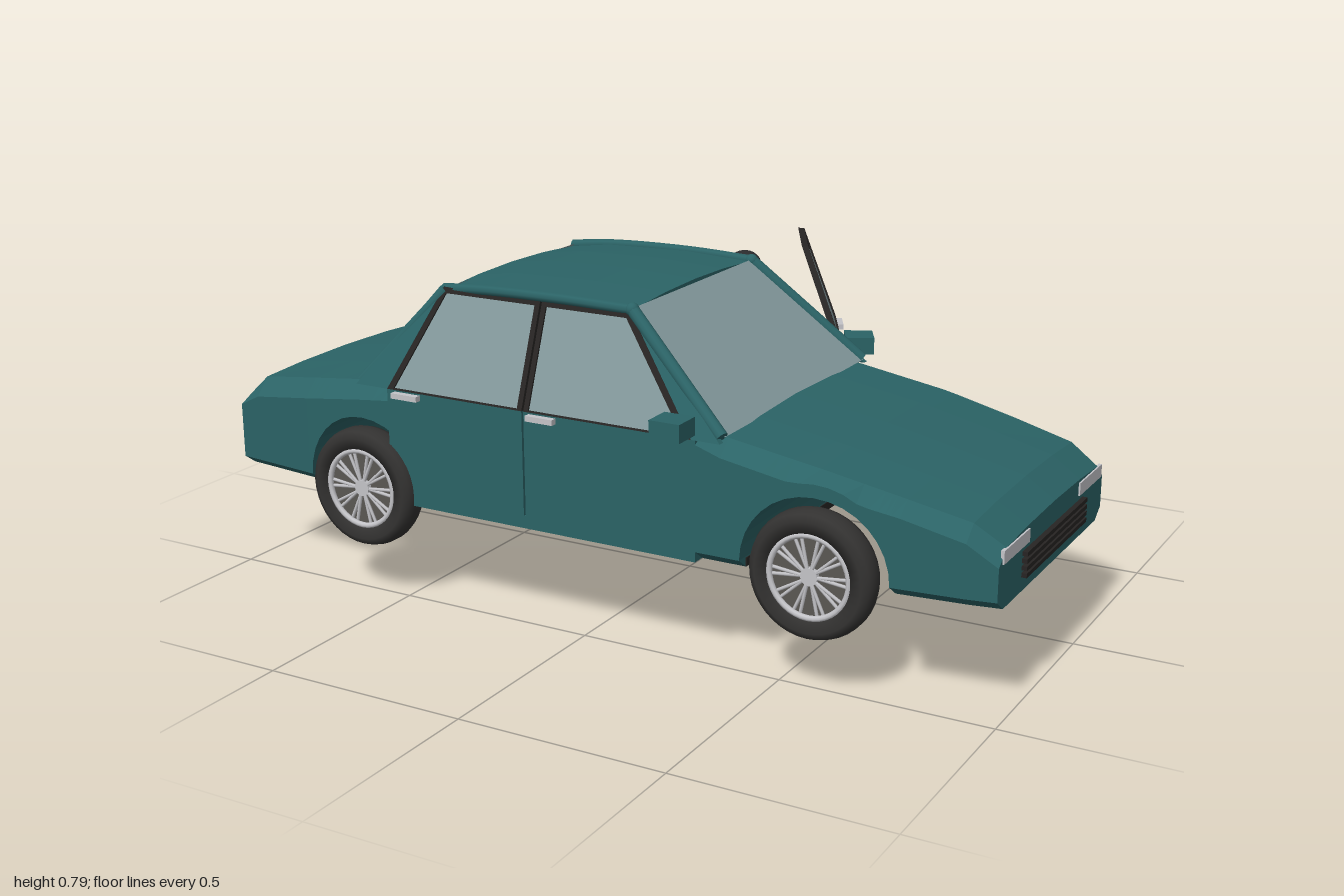
import * as THREE from 'three';

const mat = (name, color, side = THREE.FrontSide) =>
  Object.assign(new THREE.MeshStandardMaterial({ color, side }), { name });
const paint = mat('teal paint', 0x2b6366), glass = mat('glass', 0x849a9d, THREE.DoubleSide);
const trim = mat('black trim', 0x272423), rubber = mat('tyre rubber', 0x333231);
const chrome = mat('light metal', 0xc4c4c8), red = mat('tail light red', 0x9c1c1c);
const skin = mat('skin', 0xcf9877), shirt = mat('shirt', 0x9c5526);
const cloth = mat('dark cloth', 0x2b2b2d), grey = mat('grey fabric', 0x5a5753);

const V = (x, y, z) => new THREE.Vector3(x, y, z);
function add(parent, name, geo, m, x = 0, y = 0, z = 0) {
  const mesh = new THREE.Mesh(geo, m);
  mesh.name = name;
  mesh.position.set(x, y, z);
  parent.add(mesh);
  return mesh;
}
const box = (p, name, m, w, h, d, x, y, z) => add(p, name, new THREE.BoxGeometry(w, h, d), m, x, y, z);

// Tapered round bar between two points
function bar(p, name, m, a, b, r1, r2 = r1, seg = 12) {
  const d = b.clone().sub(a);
  const mesh = add(p, name, new THREE.CylinderGeometry(r2, r1, d.length(), seg), m);
  mesh.position.copy(a).addScaledVector(d, 0.5);
  mesh.quaternion.setFromUnitVectors(V(0, 1, 0), d.normalize());
  return mesh;
}
function ball(p, name, m, x, y, z, rx, ry = rx, rz = rx) {
  const b = add(p, name, new THREE.SphereGeometry(1, 20, 14), m, x, y, z);
  b.scale.set(rx, ry, rz);
  return b;
}

// Faceted skin over closed rings listed from low x to high x
function loft(rings) {
  const pos = [], tri = (...q) => q.forEach(v => pos.push(...v));
  const n = rings[0].length;
  for (let k = 0; k + 1 < rings.length; k++) for (let i = 0; i < n; i++) {
    const j = (i + 1) % n, a = rings[k], b = rings[k + 1];
    tri(a[i], a[j], b[i]);
    tri(a[j], b[j], b[i]);
  }
  const first = rings[0], last = rings[rings.length - 1];
  for (let i = 1; i + 1 < n; i++) {
    tri(last[0], last[i], last[i + 1]);
    tri(first[0], first[i + 1], first[i]);
  }
  const g = new THREE.BufferGeometry();
  g.setAttribute('position', new THREE.Float32BufferAttribute(pos, 3));
  g.computeVertexNormals();
  return g;
}
function lerpTable(t, x) {
  for (let i = 1; i < t.length; i++) if (x <= t[i][0] || i === t.length - 1) {
    const [a, b] = [t[i - 1], t[i]], f = (x - a[0]) / (b[0] - a[0]);
    return a.map((v, k) => v + (b[k] - v) * f);
  }
}

// Side wall leaning inward above the belt line; s is the side
const half = y => 0.382 - Math.max(0, y - 0.53) * 0.37;
function panel(p, name, m, pts, s, { hole, th = 0.016, inset = 0 } = {}) {
  const shape = new THREE.Shape(pts.map(q => new THREE.Vector2(...q)));
  if (hole) shape.holes.push(new THREE.Path(hole.map(q => new THREE.Vector2(...q))));
  const g = new THREE.ExtrudeGeometry(shape, { depth: th, bevelEnabled: false });
  const a = g.attributes.position;
  for (let i = 0; i < a.count; i++) {
    const z = s > 0 ? a.getZ(i) - th : a.getZ(i);
    a.setZ(i, z + s * (half(a.getY(i)) - inset));
  }
  g.computeVertexNormals();
  return add(p, name, g, m);
}

// Door with framed window, handle and optional mirror
function door(name, s, lower, win, hole, handleX, mirror) {
  const g = new THREE.Group();
  g.name = name;
  panel(g, 'doorPanel', paint, lower, s);
  panel(g, 'doorLining', trim, lower, s, { th: 0.008, inset: 0.0165 });
  panel(g, 'windowFrame', trim, win, s, { hole });
  panel(g, 'windowGlass', glass, hole, s, { th: 0.004, inset: 0.005 });
  box(g, 'doorHandle', chrome, 0.072, 0.013, 0.016, handleX, 0.52, s * 0.39);
  if (mirror) box(g, 'sideMirror', paint, 0.075, 0.042, 0.07, 0.272, 0.562, s * 0.415);
  return g;
}
const frontDoor = s => door('frontDoor', s,
  [[-0.13, 0.28], [0.31, 0.28], [0.31, 0.53], [-0.13, 0.53]],
  [[-0.13, 0.53], [0.3, 0.53], [0.1, 0.768], [-0.13, 0.768]],
  [[-0.118, 0.533], [0.278, 0.533], [0.092, 0.755], [-0.118, 0.755]], -0.08, true);
const rearDoor = s => door('rearDoor', s,
  [[-0.51, 0.28], [-0.135, 0.28], [-0.135, 0.53], [-0.51, 0.53]],
  [[-0.51, 0.53], [-0.135, 0.53], [-0.135, 0.768], [-0.4, 0.768]],
  [[-0.492, 0.533], [-0.148, 0.533], [-0.148, 0.755], [-0.392, 0.755]], -0.452, false);

function wheel(s) {
  const g = new THREE.Group();
  g.name = 'wheel';
  const prof = [[0.095, -0.03], [0.125, -0.037], [0.14, -0.028], [0.146, -0.01], [0.146, 0.01],
    [0.14, 0.028], [0.125, 0.037], [0.095, 0.03], [0.095, -0.03]].map(q => new THREE.Vector2(...q));
  add(g, 'tyre', new THREE.LatheGeometry(prof, 40), rubber).rotation.x = Math.PI / 2;
  add(g, 'rim', new THREE.TorusGeometry(0.093, 0.007, 8, 40), chrome, 0, 0, s * 0.026);
  add(g, 'wheelDisc', new THREE.CylinderGeometry(0.094, 0.094, 0.03, 32), grey).rotation.x = Math.PI / 2;
  add(g, 'hub', new THREE.CylinderGeometry(0.02, 0.02, 0.054, 16), chrome).rotation.x = Math.PI / 2;
  for (let i = 0; i < 10; i++) for (const d of [-0.09, 0.09]) {
    const t = i * Math.PI / 5;
    bar(g, 'spoke', chrome, V(0.015 * Math.cos(t), 0.015 * Math.sin(t), s * 0.023),
      V(0.09 * Math.cos(t + d), 0.09 * Math.sin(t + d), s * 0.023), 0.004, 0.004, 6);
  }
  return g;
}

// Nose and tail: rows are x, top edge, bevel line, half width
function bodyEnd(table, arch, x0, x1) {
  const r = 0.172, cy = 0.275, st = [];
  for (const [x] of table) if (Math.abs(x - arch) > r) st.push([x, 0.25]);
  for (const e of [-1, 1]) st.push([arch + e * r, 0.25], [arch + e * r, 0.2751]);
  for (let i = 1; i < 16; i++) {
    const t = Math.PI * i / 16;
    st.push([arch - r * Math.cos(t), cy + r * Math.sin(t)]);
  }
  const inside = st.filter(q => q[0] >= x0 - 1e-6 && q[0] <= x1 + 1e-6);
  inside.sort((a, b) => a[0] - b[0] || (a[0] < arch ? a[1] - b[1] : b[1] - a[1]));
  if (inside[inside.length - 1][0] < x1 - 1e-6) inside.push([x1, cy + Math.sqrt(r * r - (x1 - arch) ** 2)]);
  return loft(inside.map(([x, yb]) => {
    const [, top, bev0, w] = lerpTable(table, x);
    const low = yb === 0.25, bev = Math.max(bev0, yb + 0.03);
    const side = [[w - (low ? 0.035 : 0), yb], [w, yb + (low ? 0.025 : 0.001)], [w, bev], [w - 0.04, top], [w * 0.5, top + 0.007]];
    return [...side.map(([z, y]) => [x, y, -z]), [x, top + 0.01, 0], ...side.reverse().map(([z, y]) => [x, y, z])];
  }));
}

function car() {
  const c = new THREE.Group();
  c.name = 'car';
  add(c, 'frontBody', bodyEnd([[0.31, 0.54, 0.52, 0.382], [0.37, 0.535, 0.5, 0.382], [0.6, 0.498, 0.46, 0.38],
    [0.78, 0.46, 0.43, 0.365], [0.92, 0.428, 0.395, 0.35], [0.988, 0.383, 0.35, 0.338]], 0.59, 0.31, 0.988), paint);
  add(c, 'rearBody', bodyEnd([[-1, 0.43, 0.41, 0.338], [-0.94, 0.482, 0.44, 0.345], [-0.77, 0.507, 0.465, 0.365],
    [-0.6, 0.53, 0.49, 0.38], [-0.51, 0.53, 0.5, 0.382]], -0.59, -1, -0.51), paint);
  box(c, 'floor', trim, 0.93, 0.02, 0.7, -0.045, 0.262, 0);
  box(c, 'parcelShelf', trim, 0.12, 0.02, 0.7, -0.46, 0.52, 0);

  // Roof and windscreens
  add(c, 'roof', loft([[-0.41, 0.758, 0.27], [-0.3, 0.772, 0.282], [-0.08, 0.778, 0.285], [0.1, 0.772, 0.275]].map(([x, y, h]) =>
    [[x, y - 0.015, -h], [x, y, -h], [x, y + 0.009, -h / 2], [x, y + 0.012, 0], [x, y + 0.009, h / 2], [x, y, h], [x, y - 0.015, h]])), paint);
  const screen = (name, xb, yb, xt, yt) => {
    const shape = new THREE.BufferGeometry();
    shape.setAttribute('position', new THREE.Float32BufferAttribute(
      [xb, yb, -0.36, xb, yb, 0.36, xt, yt, 0.28, xt, yt, -0.28], 3));
    shape.setIndex(xb > 0 ? [0, 2, 1, 0, 3, 2] : [0, 1, 2, 0, 2, 3]);
    shape.computeVertexNormals();
    add(c, name, shape, glass);
  };
  screen('windscreen', 0.37, 0.54, 0.1, 0.775);
  screen('rearWindow', -0.6, 0.535, -0.4, 0.765);

  for (const s of [-1, 1]) {
    bar(c, 'frontPillar', paint, V(0.365, 0.54, s * 0.363), V(0.1, 0.772, s * 0.285), 0.015);
    bar(c, 'rearPillar', paint, V(-0.595, 0.535, s * 0.363), V(-0.4, 0.76, s * 0.285), 0.014);
    ball(c, 'pillarCap', paint, 0.1, 0.772, s * 0.285, 0.016);
    const rail = new THREE.CatmullRomCurve3([V(-0.41, 0.76, s * 0.28), V(-0.3, 0.771, s * 0.287),
      V(-0.08, 0.776, s * 0.29), V(0.1, 0.772, s * 0.285)]);
    add(c, 'roofRail', new THREE.TubeGeometry(rail, 12, 0.013, 8), paint);
    panel(c, 'rearQuarter', paint, [[-0.6, 0.53], [-0.51, 0.53], [-0.4, 0.77], [-0.41, 0.77]], s);
    panel(c, 'frontQuarter', paint, [[0.3, 0.53], [0.37, 0.53], [0.11, 0.77], [0.1, 0.77]], s);
    box(c, 'sill', paint, 0.82, 0.03, 0.045, -0.1, 0.266, s * 0.359);
    c.add(rearDoor(s));
    for (const x of [-0.59, 0.59]) {
      const w = wheel(s);
      w.position.set(x, 0.275, s * 0.368);
      c.add(w);
    }
    // Lamps
    box(c, 'headlight', chrome, 0.008, 0.03, 0.155, 0.988, 0.368, s * 0.242);
    box(c, 'tailLight', red, 0.008, 0.038, 0.15, -1, 0.385, s * 0.25);
    // Front seats
    box(c, 'seatCushion', grey, 0.2, 0.07, 0.21, 0.0, 0.34, s * 0.17);
    box(c, 'seatBack', grey, 0.06, 0.28, 0.21, -0.11, 0.48, s * 0.17).rotation.z = 0.2;
    box(c, 'headrest', cloth, 0.04, 0.07, 0.12, -0.15, 0.655, s * 0.17);
  }
  for (let i = 0; i < 4; i++) box(c, 'grilleBar', trim, 0.016, 0.01, 0.395, 0.992, 0.288 + i * 0.016, 0);

  // Rear bench, dashboard and steering wheel
  box(c, 'benchCushion', grey, 0.18, 0.08, 0.64, -0.38, 0.34, 0);
  box(c, 'benchBack', grey, 0.06, 0.24, 0.64, -0.47, 0.44, 0).rotation.z = 0.15;
  box(c, 'dashboard', trim, 0.1, 0.12, 0.7, 0.27, 0.475, 0);
  add(c, 'steeringWheel', new THREE.TorusGeometry(0.06, 0.008, 8, 24), trim, 0.18, 0.49, -0.17).rotation.y = Math.PI / 2;

  // Closed door on one side, swung open on the other
  c.add(frontDoor(1));
  const hinge = new THREE.Group(), open = frontDoor(-1);
  hinge.name = 'openDoor';
  hinge.position.set(0.31, 0, -0.375);
  open.position.set(-0.31, 0, 0.375);
  hinge.rotation.y = -1.077;
  hinge.add(open);
  c.add(hinge);
  return c;
}

function person() {
  const p = new THREE.Group();
  p.name = 'person';
  const limb = (name, m, a, b, r1, r2) => { bar(p, name, m, a, b, r1, r2, 14); ball(p, name + 'Joint', m, b.x, b.y, b.z, r2); };
  // Torso
  const prof = [[0.001, 0.385], [0.07, 0.385], [0.069, 0.44], [0.078, 0.52], [0.092, 0.585], [0.084, 0.622], [0.05, 0.643], [0.001, 0.65]];
  add(p, 'torso', new THREE.LatheGeometry(prof.map(q => new THREE.Vector2(...q)), 24), shirt, 0.04, 0, -0.205).scale.z = 0.6;
  ball(p, 'hips', cloth, 0.04, 0.385, -0.195, 0.074, 0.05, 0.05);
  // Head
  bar(p, 'neck', skin, V(0.04, 0.62, -0.2), V(0.04, 0.69, -0.21), 0.027, 0.025);
  ball(p, 'head', skin, 0.04, 0.715, -0.215, 0.038, 0.054, 0.044);
  ball(p, 'jaw', skin, 0.04, 0.688, -0.228, 0.027, 0.025, 0.028);
  ball(p, 'nose', skin, 0.04, 0.71, -0.26, 0.007, 0.011, 0.008);
  ball(p, 'hair', cloth, 0.04, 0.741, -0.208, 0.041, 0.035, 0.045);
  ball(p, 'backHair', cloth, 0.04, 0.717, -0.193, 0.037, 0.038, 0.03);
  for (const s of [-1, 1]) {
    ball(p, 'ear', skin, 0.04 + s * 0.039, 0.708, -0.212, 0.006, 0.013, 0.009);
    ball(p, 'eye', cloth, 0.04 + s * 0.014, 0.72, -0.254, 0.006, 0.003, 0.004);
  }
  // Arms: shoulder, elbow, hand
  for (const [a, e, h] of [[V(-0.05, 0.605, -0.205), V(-0.105, 0.505, -0.225), V(-0.14, 0.41, -0.295)],
    [V(0.13, 0.605, -0.205), V(0.18, 0.505, -0.2), V(0.24, 0.415, -0.215)]]) {
    ball(p, 'shoulder', shirt, a.x, a.y, a.z, 0.034);
    bar(p, 'sleeve', shirt, a, a.clone().lerp(e, 0.65), 0.034, 0.032);
    limb('upperArm', skin, a, e, 0.026, 0.023);
    limb('forearm', skin, e, h, 0.024, 0.015);
    ball(p, 'hand', skin, h.x, h.y - 0.014, h.z - 0.006, 0.02, 0.025, 0.02);
  }
  // Legs: hip, knee, ankle and shoe direction
  for (const [h, k, a, turn] of [[V(0.005, 0.39, -0.195), V(-0.012, 0.235, -0.19), V(-0.026, 0.05, -0.18), 0.05],
    [V(0.075, 0.39, -0.195), V(0.1, 0.235, -0.185), V(0.106, 0.05, -0.165), -0.5]]) {
    bar(p, 'shorts', cloth, h, h.clone().lerp(k, 0.88), 0.045, 0.042, 16);
    limb('thigh', skin, h, k, 0.036, 0.027);
    limb('calf', skin, k, a, 0.028, 0.017);
    ball(p, 'calfMuscle', skin, k.x, 0.17, a.z - 0.002, 0.027, 0.06, 0.029);
    const shoe = new THREE.Group();
    shoe.name = 'shoe';
    shoe.position.set(a.x, 0, a.z);
    shoe.rotation.y = turn;
    ball(shoe, 'shoeHeel', grey, 0, 0.03, 0.002, 0.026, 0.027, 0.034);
    ball(shoe, 'shoeToe', grey, 0, 0.022, -0.06, 0.028, 0.02, 0.065);
    add(shoe, 'sole', new THREE.CylinderGeometry(1, 1, 1, 24), cloth, 0, 0.006, -0.045).scale.set(0.03, 0.012, 0.082);
    p.add(shoe);
  }
  return p;
}

export function createModel() {
  const model = new THREE.Group();
  model.name = 'carWithDriver';
  const c = car();
  c.position.z = 0.155;
  model.add(c, person());
  return model;
}
